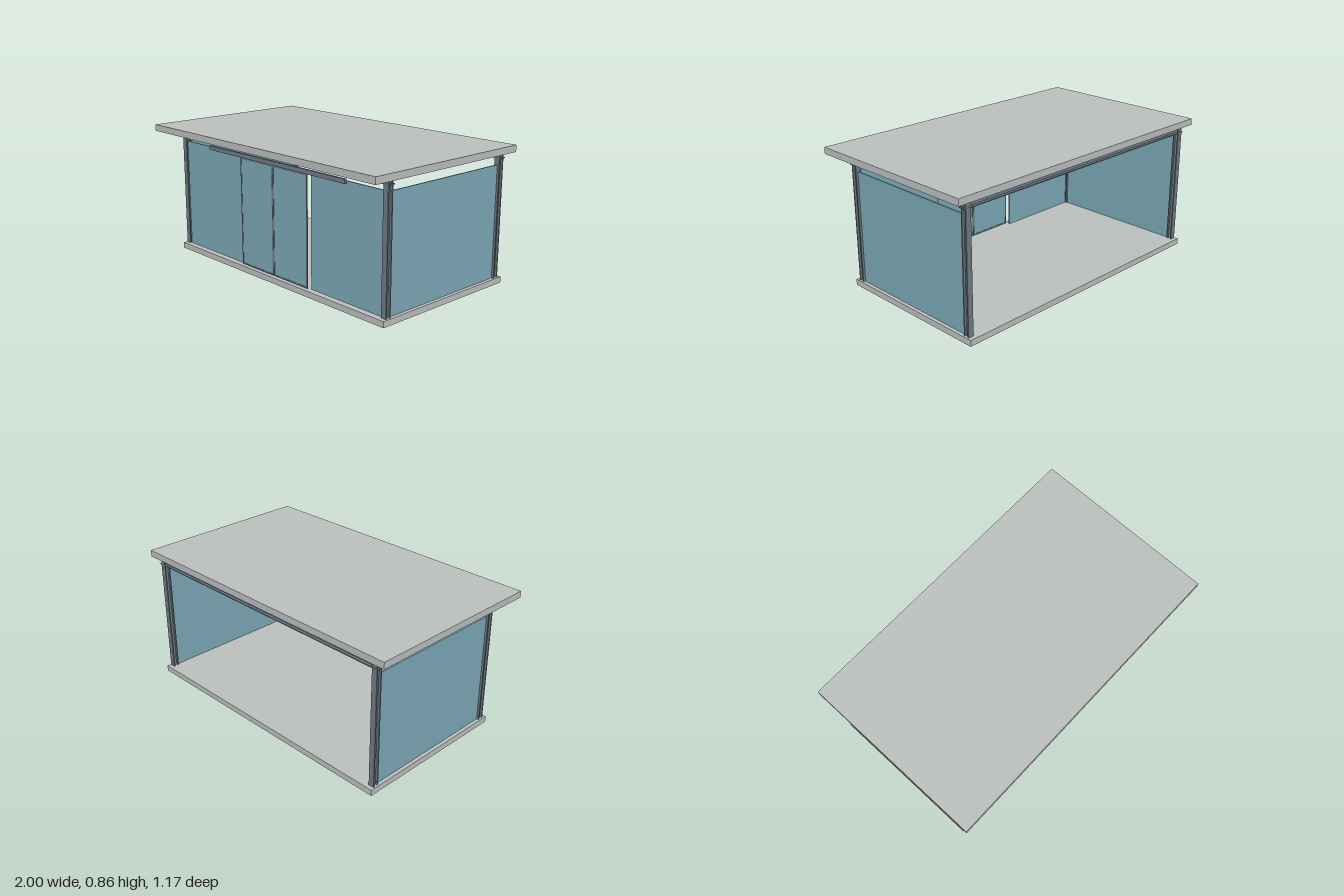
import * as THREE from 'three';

export function createModel() {
  const model = new THREE.Group();
  model.name = 'gardenRoom';

  const mat = (name, color) => {
    const m = new THREE.MeshStandardMaterial({ color });
    m.name = name;
    return m;
  };
  const concrete = mat('paleConcrete', 0xbabfbd);
  const steel = mat('greySteel', 0x6f7b84);
  const glass = mat('blueGlass', 0x7ba8b6);

  // Box given by its min and max on each axis
  const box = (parent, name, material, [x0, x1], [y0, y1], [z0, z1]) => {
    const mesh = new THREE.Mesh(new THREE.BoxGeometry(x1 - x0, y1 - y0, z1 - z0), material);
    mesh.position.set((x0 + x1) / 2, (y0 + y1) / 2, (z0 + z1) / 2);
    mesh.name = name;
    parent.add(mesh);
    return mesh;
  };

  // I-section of width w and height h, extruded to a centred length
  const iSection = (w, h, flange, web, length) => {
    const a = w / 2, b = h / 2, c = web / 2, d = b - flange;
    const outline = [[-a, -b], [a, -b], [a, -d], [c, -d], [c, d], [a, d],
      [a, b], [-a, b], [-a, d], [-c, d], [-c, -d], [-a, -d]];
    const shape = new THREE.Shape(outline.map(([x, y]) => new THREE.Vector2(x, y)));
    return new THREE.ExtrudeGeometry(shape, { depth: length, bevelEnabled: false })
      .translate(0, 0, -length / 2);
  };

  // Slabs
  box(model, 'floorSlab', concrete, [-0.94, 0.94], [0, 0.038], [-0.585, 0.445]);
  box(model, 'roofSlab', concrete, [-1, 1], [0.82, 0.862], [-0.585, 0.585]);

  // Steel frame: two long beams, each on a pair of posts
  const postGeometry = iSection(0.035, 0.038, 0.008, 0.008, 0.78).rotateX(-Math.PI / 2);
  const beamGeometry = iSection(0.042, 0.042, 0.006, 0.008, 1.88).rotateY(Math.PI / 2);
  for (const [side, z] of [['front', 0.401], ['back', -0.541]]) {
    const beam = new THREE.Mesh(beamGeometry, steel);
    beam.name = side + 'Beam';
    beam.position.set(0, 0.799, z);
    model.add(beam);
    for (const s of [-1, 1]) {
      const post = new THREE.Mesh(postGeometry, steel);
      post.name = side + (s > 0 ? 'LeftPost' : 'RightPost');
      post.position.set(s * 0.914, 0.429, z);
      model.add(post);
    }
  }

  for (const s of [-1, 1]) {
    const side = s > 0 ? 'left' : 'right';
    const span = (a, b) => (s > 0 ? [a, b] : [-b, -a]);

    // Fixed glass
    box(model, side + 'SideGlass', glass, span(0.91, 0.918), [0.038, 0.74], [-0.522, 0.383]);
    box(model, side + 'FrontGlass', glass, span(0.32, 0.9), [0.038, 0.742], [0.397, 0.405]);

    // Sliding door leaf with a slim frame
    const door = new THREE.Group();
    door.name = side + 'Door';
    model.add(door);
    box(door, 'doorGlass', glass, span(0.008, 0.3), [0.05, 0.72], [0.419, 0.423]);
    for (const x of [0.001, 0.298]) {
      box(door, 'doorStile', steel, span(x, x + 0.008), [0.043, 0.728], [0.417, 0.425]);
    }
    for (const y of [0.043, 0.72]) {
      box(door, 'doorRail', steel, span(0.009, 0.298), [y, y + 0.008], [0.417, 0.425]);
    }

    // Slim strip under the roof
    box(model, side + 'CeilingStrip', steel, span(0.47, 0.48), [0.812, 0.82], [-0.33, 0.381]);
  }

  // Track the doors hang from
  box(model, 'doorTrack', steel, [-0.622, 0.622], [0.73, 0.757], [0.416, 0.431]);

  return model;
}
